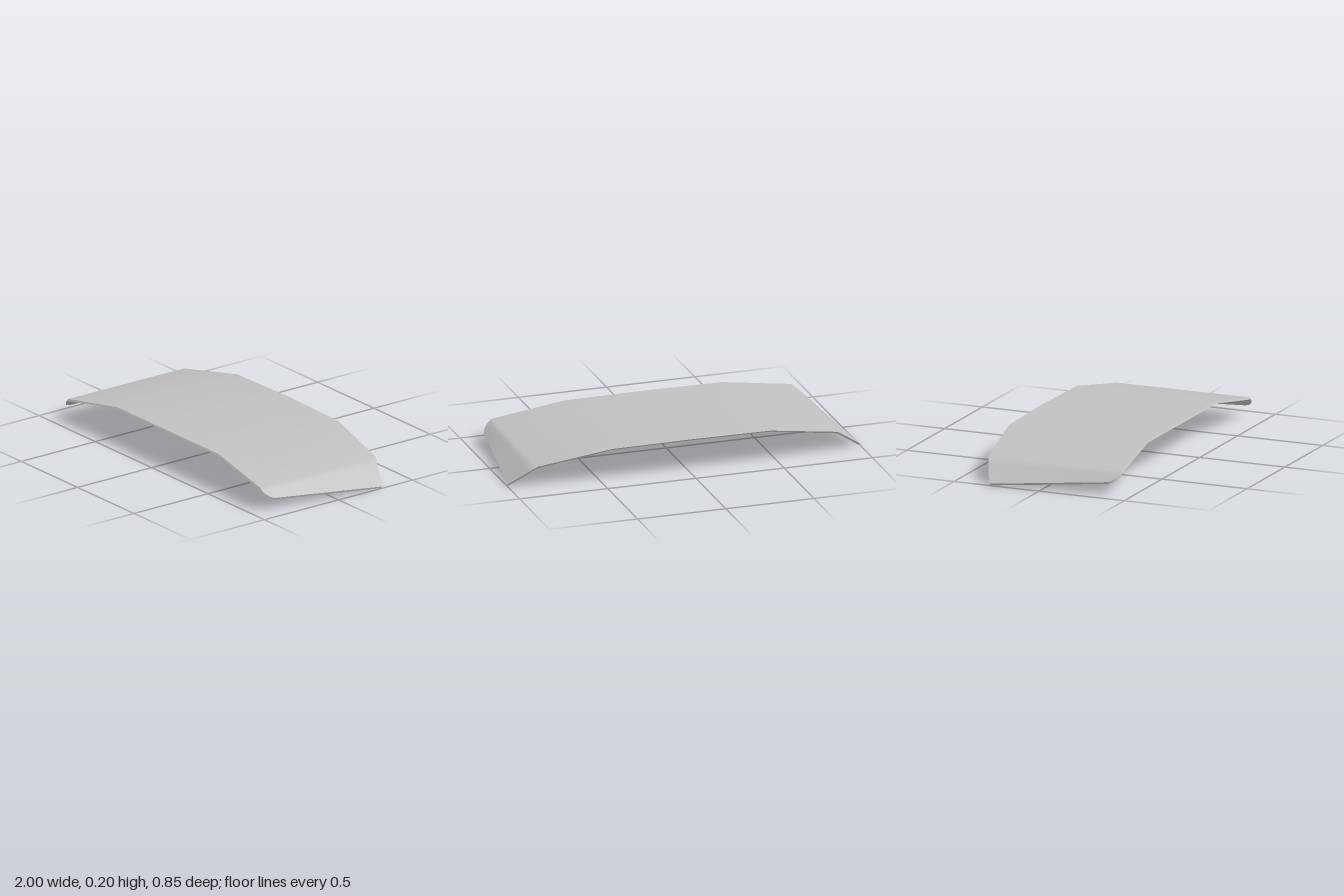
import * as THREE from 'three';

// Stations from the centre line out to the right edge: front point, back point [x, y, z]
const HALF = [
  { f: [0, 0.19, 0.395], b: [0, 0.197, -0.425] },
  { f: [0.45, 0.188, 0.39], b: [0.45, 0.192, -0.42] },
  { f: [0.85, 0.121, 0.417], b: [0.85, 0.119, -0.365] },
  // rounded front corner
  { f: [0.868, 0.106, 0.415], b: [0.89, 0.09, -0.346] },
  { f: [0.888, 0.088, 0.402], b: [0.93, 0.061, -0.328] },
  { f: [0.903, 0.075, 0.384], b: [0.97, 0.032, -0.309] },
  { f: [0.912, 0.067, 0.36], b: [1, 0.01, -0.295] },
];
const ROWS = 6;

const mirror = ([x, y, z]) => [-x, y, z];
const STATIONS = [
  ...HALF.slice(1).reverse().map((s) => ({ f: mirror(s.f), b: mirror(s.b) })),
  ...HALF,
];

// Point on the outer skin, or on the inner skin just beneath it
function skinPoint(i, t, inner) {
  const { f, b } = STATIONS[i];
  const p = f.map((v, k) => v + (b[k] - v) * t);
  if (!inner) return p;
  const side = Math.min(1, Math.max(0, (Math.abs(p[0]) - 0.45) / 0.4));
  return [p[0] - Math.sign(p[0]) * 0.005 * side, p[1] - 0.008 - 0.002 * side, p[2] + 0.006];
}

// Grid surface: cols x rows quads from a point function
function grid(cols, rows, point, flip) {
  const pos = [], idx = [];
  for (let i = 0; i <= cols; i++)
    for (let j = 0; j <= rows; j++) pos.push(...point(i, j));
  for (let i = 0; i < cols; i++)
    for (let j = 0; j < rows; j++) {
      const a = i * (rows + 1) + j, b = a + rows + 1, c = b + 1, d = a + 1;
      if (flip) idx.push(a, c, b, a, d, c);
      else idx.push(a, b, c, a, c, d);
    }
  const g = new THREE.BufferGeometry();
  g.setAttribute('position', new THREE.Float32BufferAttribute(pos, 3));
  g.setIndex(idx);
  g.computeVertexNormals();
  return g;
}

export function createModel() {
  const group = new THREE.Group();
  group.name = 'curvedPanel';
  const grey = new THREE.MeshStandardMaterial({ color: 0xc0c0c0 });
  grey.name = 'panel grey';

  const add = (name, geometry) => {
    const mesh = new THREE.Mesh(geometry, grey);
    mesh.name = name;
    group.add(mesh);
  };
  const n = STATIONS.length - 1;

  // Upper and lower skins
  add('outerSkin', grid(n, ROWS, (i, j) => skinPoint(i, j / ROWS, false), false));
  add('innerSkin', grid(n, ROWS, (i, j) => skinPoint(i, j / ROWS, true), true));

  // Thin rims closing the thickness
  add('frontRim', grid(n, 1, (i, j) => skinPoint(i, 0, j === 0), false));
  add('backRim', grid(n, 1, (i, j) => skinPoint(i, 1, j === 0), true));
  add('leftRim', grid(1, 1, (i, j) => skinPoint(n, i, j === 0), false));
  add('rightRim', grid(1, 1, (i, j) => skinPoint(0, i, j === 0), true));

  return group;
}
